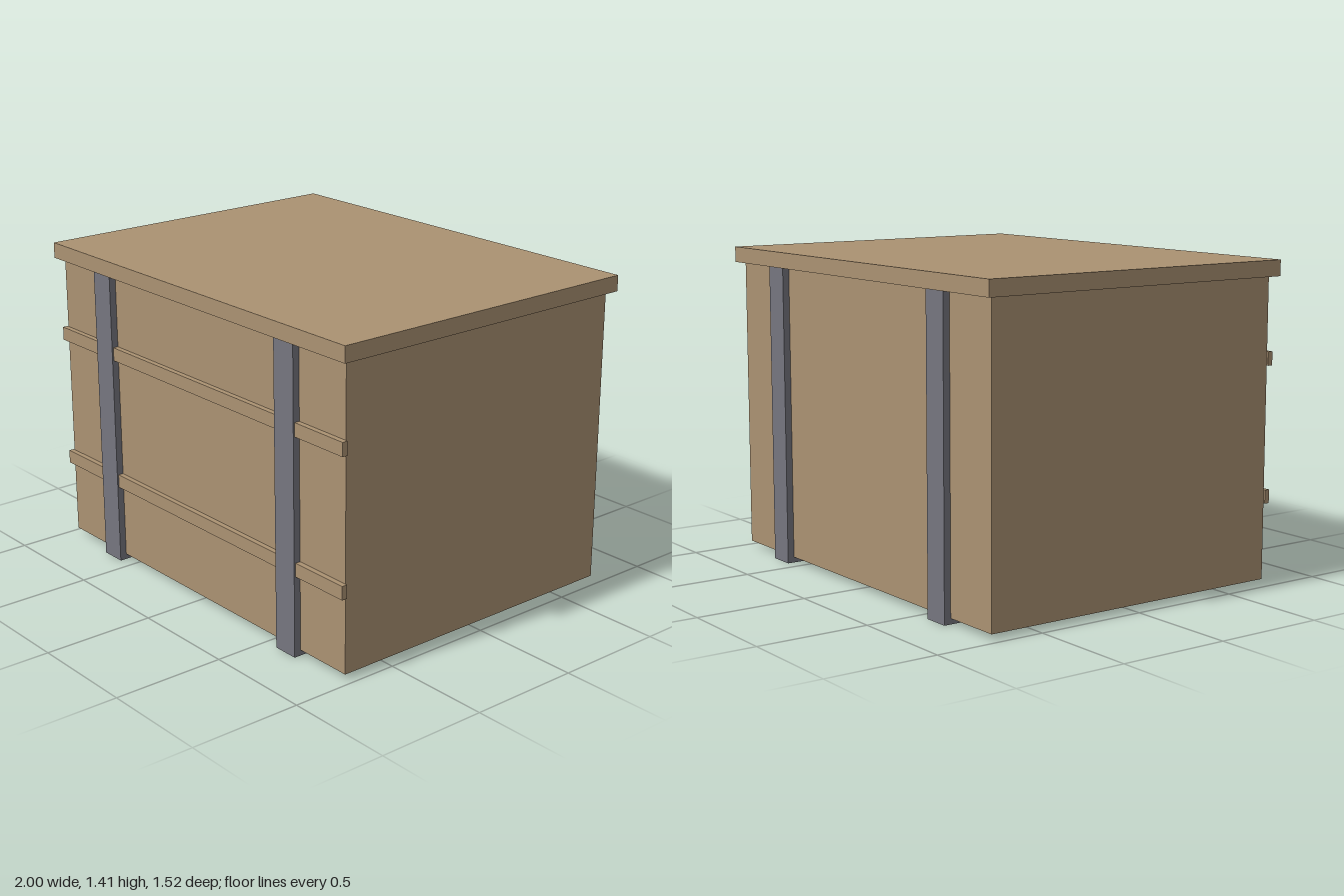
import * as THREE from 'three';

export function createModel() {
  const model = new THREE.Group();
  const wood = new THREE.MeshStandardMaterial({ color: 0xab9272 });
  wood.name = 'wood';
  const metal = new THREE.MeshStandardMaterial({ color: 0x76767f });
  metal.name = 'grey metal';

  // Box given by its lower and upper corners
  function box(name, material, min, max, parent = model) {
    const size = max.map((v, i) => v - min[i]);
    const mesh = new THREE.Mesh(new THREE.BoxGeometry(...size), material);
    mesh.position.set(...max.map((v, i) => (v + min[i]) / 2));
    mesh.name = name;
    parent.add(mesh);
  }

  // Crate body and overhanging lid
  box('body', wood, [-0.967, 0.025, -0.723], [0.967, 1.342, 0.723]);
  box('lid', wood, [-1, 1.342, -0.758], [1, 1.412, 0.758]);

  // Horizontal slats across the front
  for (const y of [0.36, 0.96]) {
    box('frontSlat', wood, [-0.975, y, 0.723], [0.975, y + 0.06, 0.747]);
  }

  // U-shaped straps running down the front, under the base and up the back
  for (const x of [-0.628, 0.628]) {
    const strap = new THREE.Group();
    strap.name = 'strap';
    const [a, b] = [x - 0.06, x + 0.06];
    box('strapFront', metal, [a, 0.025, 0.723], [b, 1.342, 0.754], strap);
    box('strapBack', metal, [a, 0.025, -0.754], [b, 1.342, -0.723], strap);
    box('strapBottom', metal, [a, 0, -0.754], [b, 0.025, 0.754], strap);
    model.add(strap);
  }

  return model;
}
